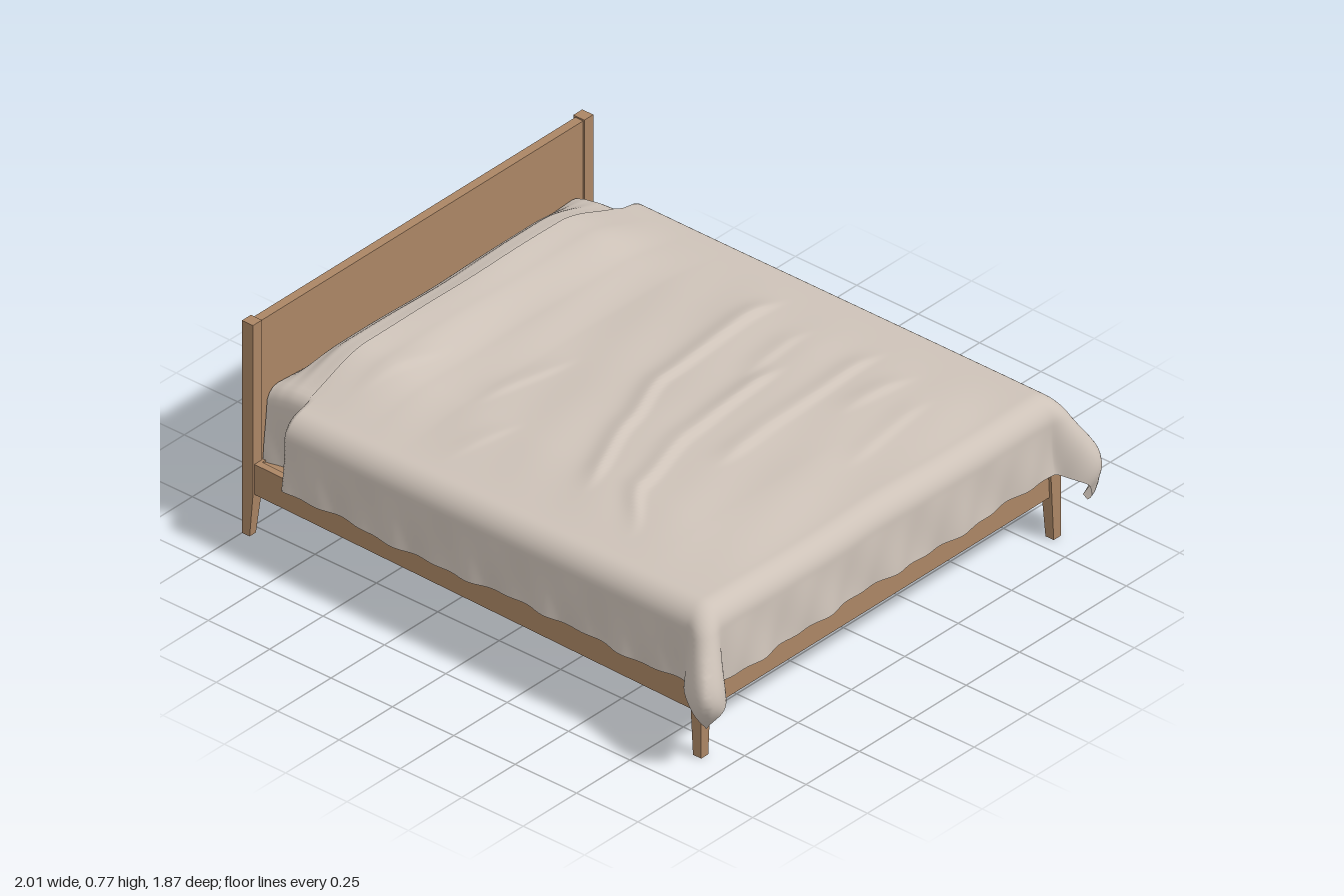
import * as THREE from 'three';

const wood = new THREE.MeshStandardMaterial({ color: 0xab8665 });
wood.name = 'oak wood';
const linen = new THREE.MeshStandardMaterial({ color: 0xcdc2b8, side: THREE.DoubleSide });
linen.name = 'linen';

const { smoothstep, lerp, clamp } = THREE.MathUtils;

function part(name, geometry, material) {
  const mesh = new THREE.Mesh(geometry, material);
  mesh.name = name;
  return mesh;
}

function box(name, x0, x1, y0, y1, z0, z1) {
  const g = new THREE.BoxGeometry(x1 - x0, y1 - y0, z1 - z0);
  g.translate((x0 + x1) / 2, (y0 + y1) / 2, (z0 + z1) / 2);
  return part(name, g, wood);
}

// piecewise linear lookup with eased steps
function lookup(table, t) {
  if (t <= table[0][0]) return table[0][1];
  for (let i = 1; i < table.length; i++) {
    const [a, va] = table[i - 1], [b, vb] = table[i];
    if (t <= b) return lerp(va, vb, smoothstep(t, a, b) * 0.5 + ((t - a) / (b - a)) * 0.5);
  }
  return table[table.length - 1][1];
}

// height of the bedding along the bed, with the pillow swell at the head
const PROFILE = [[-0.96, 0.5], [-0.91, 0.56], [-0.86, 0.598], [-0.8, 0.612], [-0.7, 0.602],
  [-0.55, 0.568], [-0.4, 0.552], [0.2, 0.556], [0.6, 0.54], [0.84, 0.52]];

// long creases: each is a path of [z, x], with a height
const CREASES = [
  { path: [[-0.65, -0.07], [-0.05, -0.03], [0.2, 0.06], [0.55, 0.19]], h: 0.016 },
  { path: [[-0.32, 0.2], [0.15, 0.24], [0.45, 0.32], [0.64, 0.45]], h: 0.016 },
  { path: [[-0.62, 0.36], [-0.1, 0.39], [0.18, 0.41]], h: 0.013 },
  { path: [[-0.55, 0.12], [-0.25, 0.14]], h: 0.008 },
  { path: [[-0.58, 0.52], [-0.3, 0.5]], h: 0.01 },
  { path: [[-0.5, 0.65], [-0.1, 0.69]], h: 0.008 },
  { path: [[0.05, -0.32], [0.4, -0.37]], h: 0.007 },
  { path: [[0.3, -0.62], [0.6, -0.68]], h: 0.007 },
  { path: [[0.45, -0.2], [0.7, -0.26]], h: 0.007 },
];

function wrinkles(x, z) {
  let y = 0;
  for (const { path, h } of CREASES) {
    const z0 = path[0][0], z1 = path[path.length - 1][0];
    const fade = smoothstep(z, z0 - 0.05, z0 + 0.12) * (1 - smoothstep(z, z1 - 0.12, z1 + 0.05));
    const d = x - lookup(path, z);
    // steep on one side, gentle on the other
    y += fade * h * Math.exp(-((d / (d > 0 ? 0.014 : 0.05)) ** 2));
  }
  return y + 0.0025 * Math.sin(9 * x + 4 * Math.sin(3 * z)) + 0.002 * Math.sin(23 * x - 7 * z);
}

function topHeight(x, z) {
  const sag = smoothstep(Math.abs(z), 0.45, 0.8);
  return lerp(lookup(PROFILE, x), 0.52, sag) + wrinkles(x, z) * (1 - sag);
}

// drapes a flat cloth over rounded edges: beyond footX and sideZ it hangs down
function drape({ startX, footX, sideZ, radius, hang, endX, lower, nx, nz, tuck }) {
  const width = endX - startX, depth = 2 * (sideZ + hang);
  const g = new THREE.PlaneGeometry(width, depth, nx, nz);
  g.rotateX(-Math.PI / 2);
  g.translate((startX + endX) / 2, 0, 0);
  const p = g.attributes.position;
  for (let i = 0; i < p.count; i++) {
    const x = p.getX(i), z = p.getZ(i), side = Math.sign(z);
    const dx = Math.max(0, x - footX), dz = Math.max(0, Math.abs(z) - sideZ);
    const d = Math.hypot(dx, dz), angle = Math.atan2(dz, dx);
    const bend = Math.min(d / radius, Math.PI / 2);
    const rest = Math.max(0, d - radius * Math.PI / 2);
    const drop = radius * (1 - Math.cos(bend)) + rest;
    let out = radius * Math.sin(bend) + rest * 0.06;

    // gathers on the hanging sides and a flared fold at each foot corner
    const corner = d > 0 ? Math.sin(2 * angle) ** 2 : 0;
    const along = dz > dx ? x : z;
    out += 0.035 * rest * (Math.sin(along * 19 + drop * 9) + 0.7 * Math.sin(along * 41 - drop * 14));
    out += 0.125 * corner * Math.sin(Math.PI * Math.pow(clamp(drop / 0.44, 0, 1), 1.35));

    const cx = Math.min(x, footX), cz = clamp(z, -sideZ, sideZ);
    const px = cx + out * Math.cos(angle) * (d > 0 ? 1 : 0);
    let pz = cz + side * out * Math.sin(angle) * (d > 0 ? 1 : 0);
    // the head end of the cover turns in against the mattress
    if (tuck && x < startX + 0.001) pz = clamp(pz, -tuck, tuck);
    const hem = 0.006 * Math.sin(along * 7) * smoothstep(drop, 0.1, 0.26);
    p.setXYZ(i, px, topHeight(cx, cz) - drop - lower + hem, pz);
  }
  g.computeVertexNormals();
  return g;
}

// square leg that tapers on its two inner faces
function taperedLeg(name, x0, x1, zIn, zOut, height, innerX) {
  const mesh = box(name, x0, x1, 0, height, Math.min(zIn, zOut), Math.max(zIn, zOut));
  const p = mesh.geometry.attributes.position;
  const outerX = innerX === x0 ? x1 : x0;
  for (let i = 0; i < p.count; i++) {
    if (p.getY(i) > 0.001) continue;
    if (Math.abs(p.getX(i) - innerX) < 0.001) p.setX(i, lerp(innerX, outerX, 0.3));
    if (Math.abs(p.getZ(i) - zIn) < 0.001) p.setZ(i, lerp(zIn, zOut, 0.3));
  }
  mesh.geometry.computeVertexNormals();
  return mesh;
}

function outline(Type, x0, x1, half0, half1) {
  return new Type([[x0, -half0], [x1, -half1], [x1, half1], [x0, half0]]
    .map(([x, z]) => new THREE.Vector2(x, z)));
}

function slab(shape, y, height) {
  const g = new THREE.ExtrudeGeometry(shape, { depth: height, bevelEnabled: false });
  g.rotateX(-Math.PI / 2);
  g.translate(0, y, 0);
  return g;
}

export function createModel() {
  const model = new THREE.Group();
  model.name = 'bed';

  const frame = new THREE.Group();
  frame.name = 'frame';
  frame.position.z = 0.008;
  model.add(frame);

  // rails, slightly wider at the foot
  const rails = outline(THREE.Shape, -0.96, 0.9, 0.79, 0.832);
  rails.holes.push(outline(THREE.Path, -0.945, 0.875, 0.765, 0.807));
  frame.add(part('rails', slab(rails, 0.155, 0.11), wood));
  frame.add(part('basePanel', slab(outline(THREE.Shape, -0.95, 0.88, 0.768, 0.81), 0.168, 0.09), wood));

  // headboard and legs
  frame.add(box('headboardPanel', -0.992, -0.96, 0.155, 0.77, -0.765, 0.765));
  for (const s of [1, -1]) {
    const zs = [s * 0.755, s * 0.797].sort((a, b) => a - b);
    frame.add(box('headPost', -1, -0.955, 0.155, 0.775, zs[0], zs[1]));
    frame.add(taperedLeg('headLeg', -1, -0.955, s * 0.755, s * 0.797, 0.155, -0.955));
    frame.add(taperedLeg('footLeg', 0.862, 0.91, s * 0.795, s * 0.842, 0.262, 0.862));
  }

  // fitted sheet over the head of the mattress
  model.add(part('sheet', drape({
    startX: -0.955, endX: -0.74, footX: 1, sideZ: 0.69, radius: 0.05, hang: 0.31,
    lower: 0.005, nx: 24, nz: 90,
  }), linen));

  // cover
  model.add(part('cover', drape({
    startX: -0.8, endX: 1.15, footX: 0.845, sideZ: 0.768, radius: 0.08, hang: 0.305,
    lower: 0, nx: 190, nz: 150, tuck: 0.72,
  }), linen));

  return model;
}
